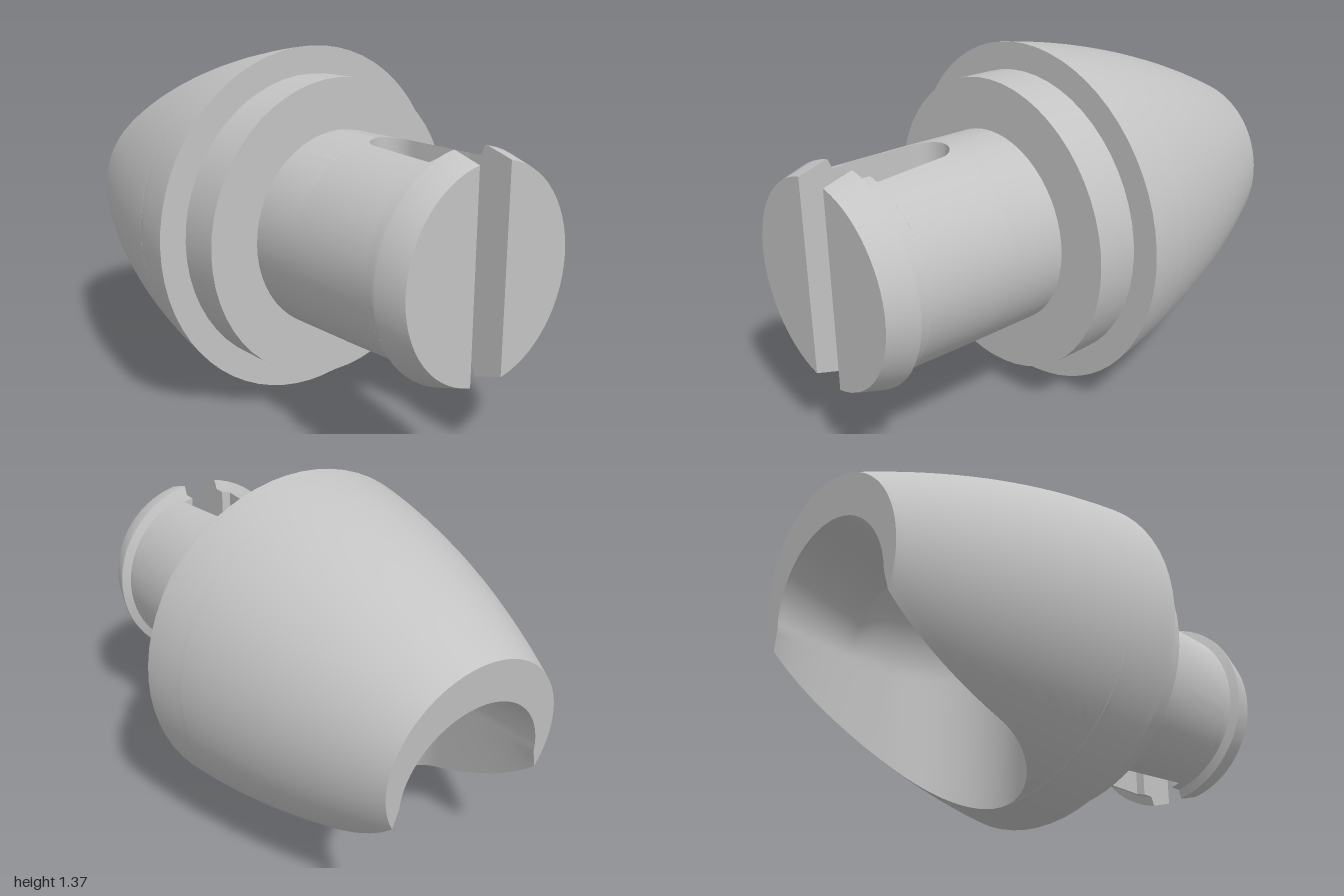
import * as THREE from 'three';
import { toCreasedNormals } from 'three/addons/utils/BufferGeometryUtils.js';

const CY = 0.683;            // height of the main axis
const R = 0.31, CZ = -0.45;  // socket radius and socket centre along z
const SPRING = 0.57;         // height where the socket walls turn into the dome
const N = 64;                // segments around the body

const lerp = THREE.MathUtils.lerp;

// Skins equal-length rows of [x, y, z] points; optional fan cap on the last row
function loft(rows, { flip = false, closed = false, cap = false } = {}) {
  const n = rows[0].length, index = [];
  const tri = (a, b, c) => (flip ? index.push(a, c, b) : index.push(a, b, c));
  for (let i = 0; i < rows.length - 1; i++) {
    for (let j = 0; j < (closed ? n : n - 1); j++) {
      const k = (j + 1) % n, a = i * n + j, b = i * n + k;
      tri(a, b, b + n);
      tri(a, b + n, a + n);
    }
  }
  if (cap) {
    const s = (rows.length - 1) * n;
    for (let j = 1; j < n - 1; j++) tri(s, s + j, s + j + 1);
  }
  const geo = new THREE.BufferGeometry();
  geo.setAttribute('position', new THREE.Float32BufferAttribute(rows.flat(2), 3));
  geo.setIndex(index);
  return toCreasedNormals(geo, 0.5);
}

// Bullet-shaped outer radius along z
function outerRadius(z) {
  const d = 0.06 - z;
  return 0.683 - 0.1417 * d - 0.1645 * d * d;
}

// Leans the rear end so that its face is slightly tilted
function lean(z, y) {
  const t = Math.max(0, (-0.45 - z) / 0.55);
  return z + t * (1.03 - y) * 0.091;
}

function outerPoint(z, theta) {
  let zz = z, r, y;
  for (let i = 0; i < 4; i++) {
    r = outerRadius(zz);
    y = CY - r * Math.cos(theta);
    zz = lean(z, y);
  }
  return [-r * Math.sin(theta), y, zz];
}

// Half width and dome height of the socket along z
function socketWidth(z) {
  if (z > CZ) return Math.sqrt(Math.max(0, R * R - (z - CZ) ** 2));
  return lerp(R, 0.3, (CZ - z) / 0.55);
}
function socketHeight(z) {
  if (z > -0.65) return Math.sqrt(Math.max(0, R * R - (z - CZ) ** 2));
  return lerp(0.237, 0.3, (-0.65 - z) / 0.35);
}

function rimAngle(z) {
  return z >= CZ + R ? 0 : Math.asin(Math.min(1, socketWidth(z) / outerRadius(z)));
}

function outerRow(z) {
  const a = rimAngle(z);
  return Array.from({ length: N + 1 }, (_, j) => outerPoint(z, lerp(a, 2 * Math.PI - a, j / N)));
}

// Socket section: straight wall, dome, straight wall
function socketRow(z) {
  const rim = outerPoint(z, rimAngle(z)), w = socketWidth(z), h = socketHeight(z);
  const wall = 8, row = [];
  for (let j = 0; j <= N; j++) {
    const m = Math.min(j, N - j), side = j <= N / 2 ? 1 : -1;
    let x, y;
    if (m < wall) {
      x = side * lerp(rim[0], -w, m / wall);
      y = lerp(rim[1], SPRING, m / wall);
    } else {
      const t = Math.PI * (j - wall) / (N - 2 * wall);
      x = -w * Math.cos(t);
      y = SPRING + h * Math.sin(t);
    }
    row.push([x, y, lean(z, y)]);
  }
  return row;
}

// Half width of the shaft slot in its rounded and tapered stretch
function slotWidth(z) {
  if (z < 0.54) return Math.sqrt(Math.max(0, 0.09 ** 2 - (0.54 - z) ** 2));
  return lerp(0.09, 0.115, (z - 0.54) / 0.28);
}

// One half of the shaft: a circle segment beyond x = w
function shaftRow(z, r, w) {
  const a = Math.acos(w / r);
  return Array.from({ length: 29 }, (_, j) => {
    const t = lerp(-a, a, j / 28);
    return [r * Math.cos(t), r * Math.sin(t), z];
  });
}

export function createModel() {
  const model = new THREE.Group();
  const grey = new THREE.MeshStandardMaterial({ color: 0xc4c4c4 });
  grey.name = 'plain grey';
  const add = (name, geo, parent = model) => {
    const mesh = new THREE.Mesh(geo, grey);
    mesh.name = name;
    parent.add(mesh);
    return mesh;
  };

  // Bullet body with an open ball socket
  const front = Array.from({ length: 6 }, (_, i) => lerp(0.06, CZ + R, i / 6));
  const socket = [];
  for (let i = 0; i <= 14; i++) socket.push(CZ + R * Math.cos(i / 14 * Math.PI / 2));
  for (let i = 1; i <= 22; i++) socket.push(CZ - 0.55 * i / 22);
  add('body', loft([...front, ...socket].map(outerRow)));
  add('ballSocket', loft(socket.map(socketRow), { flip: true }));
  add('rearFace', loft([outerRow(-1), socketRow(-1)]));
  add('bodyShoulder', new THREE.RingGeometry(0.55, 0.683, N)).position.set(0, CY, 0.06);

  // Collar
  const collar = new THREE.CylinderGeometry(0.577, 0.577, 0.18, 56).rotateX(Math.PI / 2);
  add('collar', collar).position.set(0, CY, 0.14);

  // Slotted snap-fit shaft, as two matching prongs
  const rows = [shaftRow(0.2, 0.381, 0)];
  for (let i = 0; i <= 10; i++) {
    const z = 0.54 - 0.09 * Math.cos(i / 10 * Math.PI / 2);
    rows.push(shaftRow(z, 0.381, slotWidth(z)));
  }
  rows.push(
    shaftRow(0.82, 0.378, slotWidth(0.82)),
    shaftRow(0.82, 0.378, 0.075),
    shaftRow(0.87, 0.378, 0.075),
    shaftRow(0.885, 0.413, 0.075),
    shaftRow(0.895, 0.413, 0.075),
    shaftRow(1, 0.381, 0.075),
  );
  const prong = loft(rows, { closed: true, cap: true });
  const shaft = new THREE.Group();
  shaft.name = 'shaft';
  shaft.position.y = CY;
  add('leftProng', prong, shaft);
  add('rightProng', prong, shaft).rotation.z = Math.PI;
  model.add(shaft);

  return model;
}
